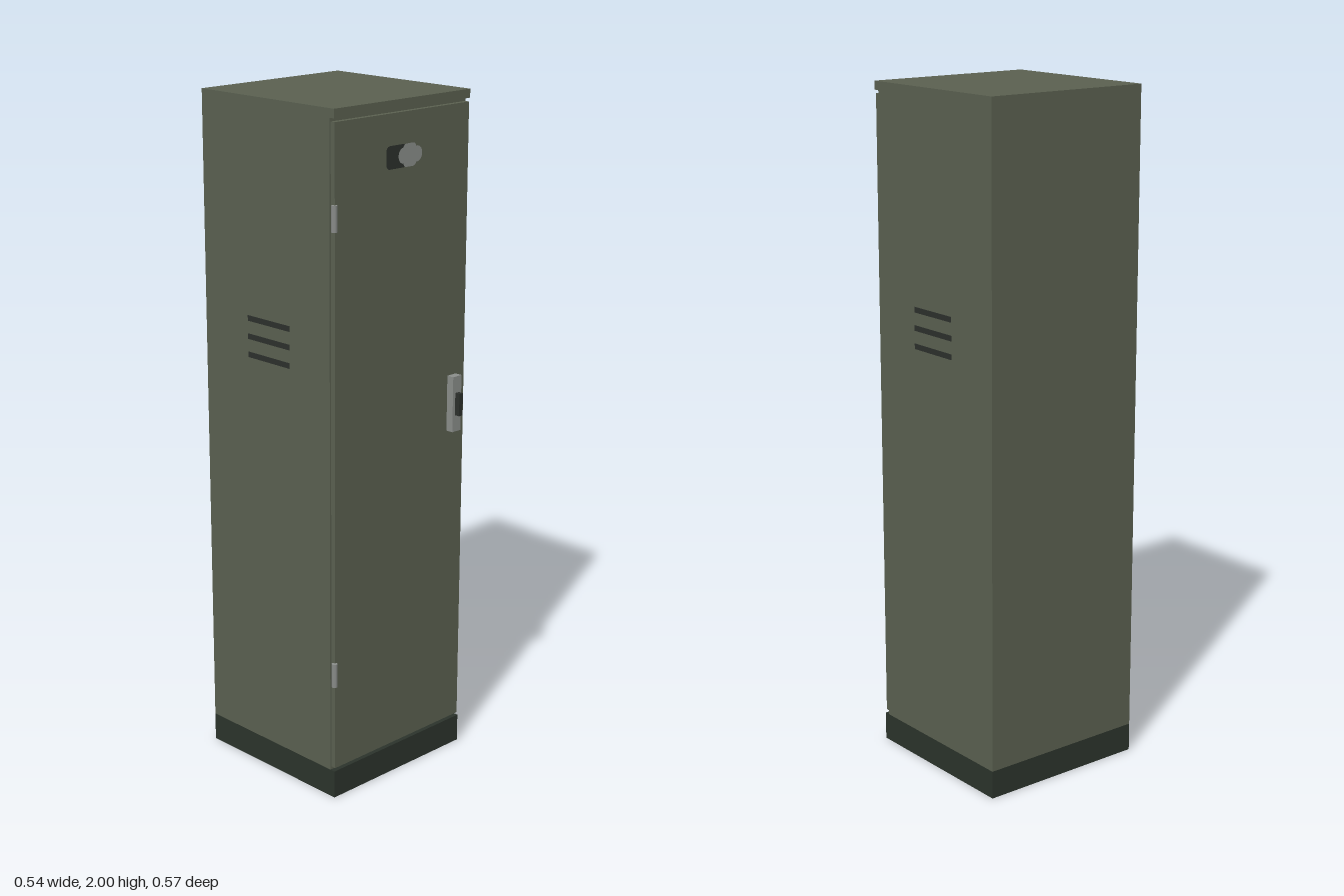
import * as THREE from 'three';

export function createModel() {
  const group = new THREE.Group();
  const mat = (name, color) => {
    const m = new THREE.MeshStandardMaterial({ color });
    m.name = name;
    return m;
  };
  const olive = mat('olive paint', 0x5a6050);
  const dark = mat('dark plinth', 0x2b332b);
  const black = mat('dark slots', 0x2c302c);
  const steel = mat('grey steel', 0x8a8d8a);

  const add = (name, geometry, material, x, y, z) => {
    const mesh = new THREE.Mesh(geometry, material);
    mesh.name = name;
    mesh.position.set(x, y, z);
    group.add(mesh);
    return mesh;
  };
  // box given by its lower and upper corners
  const box = (name, material, [x0, y0, z0], [x1, y1, z1]) =>
    add(name, new THREE.BoxGeometry(x1 - x0, y1 - y0, z1 - z0), material,
      (x0 + x1) / 2, (y0 + y1) / 2, (z0 + z1) / 2);

  const L = -0.261, R = 0.266, back = -0.284, front = 0.243, inner = 0.226;

  // carcass: plinth, body set back behind the door, overhanging cap
  box('plinth', dark, [L, 0, back], [R, 0.084, front]);
  box('body', olive, [L, 0.084, back], [R, 1.975, inner]);
  box('cap', olive, [L, 1.975, back], [R, 2, front]);
  box('door', olive, [L + 0.003, 0.094, inner + 0.002], [R - 0.004, 1.965, front]);

  // three vent slots on each side
  for (const x of [L, R]) {
    for (const y of [1.27, 1.323, 1.376]) {
      box('ventSlot', black, [x - 0.0015, y - 0.008, -0.104], [x + 0.0015, y + 0.008, 0.066]);
    }
  }

  // hinges
  for (const y of [0.39, 1.71]) {
    add('hinge', new THREE.CylinderGeometry(0.009, 0.009, 0.072, 6).toNonIndexed(), steel, -0.261, y, 0.244)
      .rotation.y = Math.PI / 6;
  }

  // latch plate and handle
  box('latchPlate', steel, [0.193, 1.02, front], [0.228, 1.186, 0.266]);
  box('latchGrip', black, [0.203, 1.07, 0.266], [0.218, 1.137, 0.282]);

  // plain two-tone label plate, with rounded ends
  const plate = (name, material, x, y, w, h, r, z) => {
    const s = new THREE.Shape();
    s.absarc(w / 2 - r, h / 2 - r, r, 0, Math.PI / 2);
    s.absarc(-w / 2 + r, h / 2 - r, r, Math.PI / 2, Math.PI);
    s.absarc(-w / 2 + r, -h / 2 + r, r, Math.PI, Math.PI * 1.5);
    s.absarc(w / 2 - r, -h / 2 + r, r, Math.PI * 1.5, Math.PI * 2);
    add(name, new THREE.ShapeGeometry(s, 4), material, x, y, z);
  };
  plate('labelDark', black, -0.026, 1.846, 0.08, 0.064, 0.014, front + 0.001);
  plate('labelLight', steel, 0.027, 1.846, 0.092, 0.044, 0.02, front + 0.0015);
  plate('labelLight', steel, 0.024, 1.846, 0.05, 0.064, 0.012, front + 0.002);

  return group;
}
